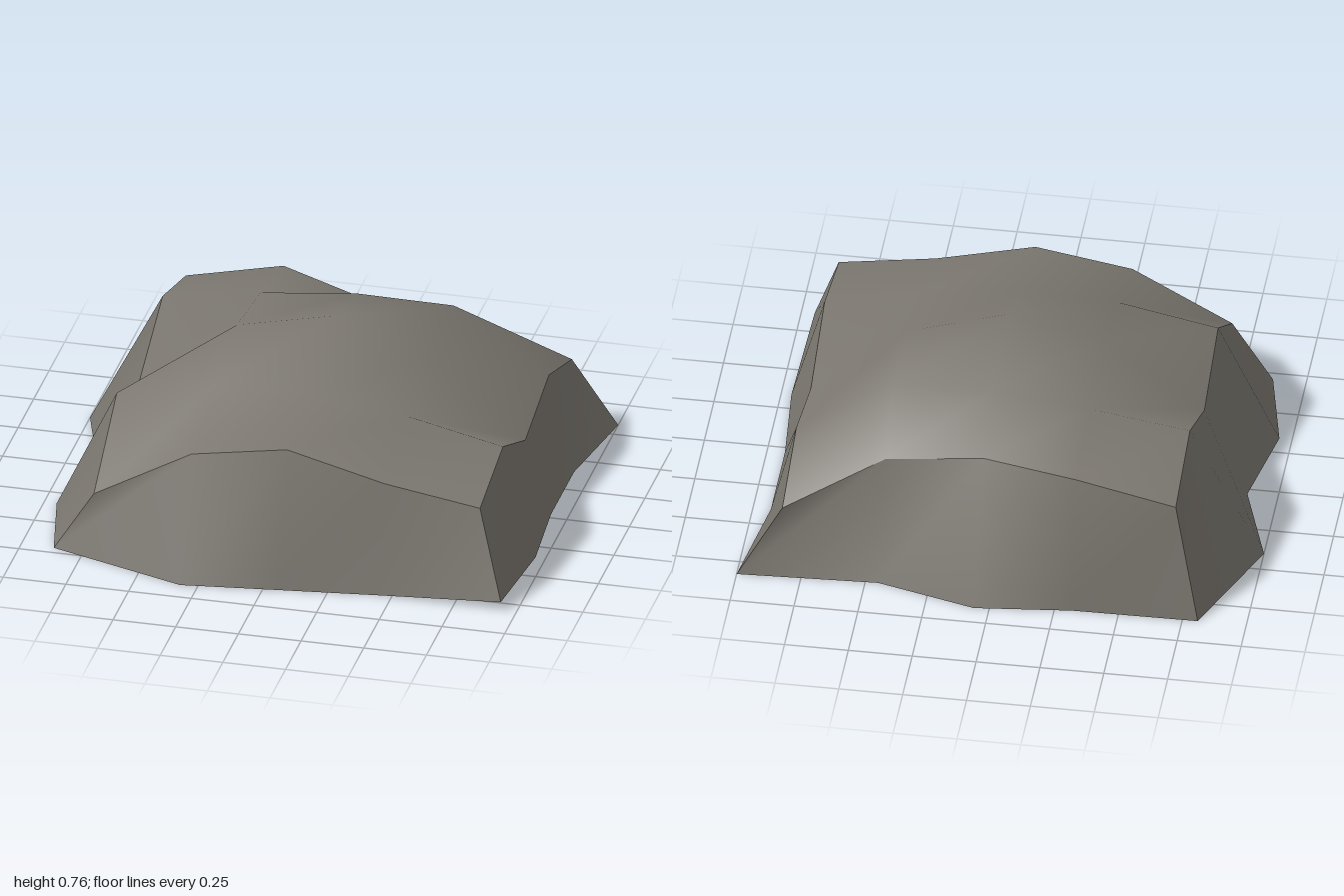
import * as THREE from 'three';

// Indexed strip or grid with its own smooth normals
function makeGeometry(points, index) {
  const geometry = new THREE.BufferGeometry();
  geometry.setAttribute('position', new THREE.Float32BufferAttribute(points.flat(), 3));
  geometry.setIndex(index);
  geometry.computeVertexNormals();
  return geometry;
}

export function createModel() {
  const group = new THREE.Group();
  group.name = 'rock';
  const stone = new THREE.MeshStandardMaterial({ color: 0x7b7770 });
  stone.name = 'stone grey';

  const add = (name, points, index) => {
    const mesh = new THREE.Mesh(makeGeometry(points, index), stone);
    mesh.name = name;
    group.add(mesh);
  };

  // Crown: a 5 x 5 height field, rows run from back to front
  const xs = [-0.71, -0.32, 0.06, 0.45, 0.83];
  const zs = [-0.77, -0.4, -0.02, 0.34, 0.71];
  const heights = [
    [0.47, 0.56, 0.52, 0.455, 0.295],
    [0.565, 0.627, 0.67, 0.665, 0.41],
    [0.38, 0.675, 0.76, 0.635, 0.315],
    [0.51, 0.59, 0.6, 0.55, 0.465],
    [0.255, 0.475, 0.54, 0.44, 0.38],
  ];
  const top = heights.map((row, j) => row.map((h, i) => [xs[i], h, zs[j]]));
  top[0][2][2] = -0.635; // hollow in the back rim
  top[0][3][2] = -0.61;

  const crownIndex = [];
  for (let j = 0; j < 4; j++) {
    for (let i = 0; i < 4; i++) {
      const a = j * 5 + i, b = a + 5, c = b + 1, d = a + 1;
      crownIndex.push(a, b, d, b, c, d);
    }
  }
  add('crown', top.flat(), crownIndex);

  // Foot corners and the outline between them
  const frontLeft = [0.94, 0.04, 0.82], frontRight = [-0.87, 0, 0.71];
  const backLeft = [1, 0, -0.83], backRight = [-0.81, 0, -0.865];
  const sides = [
    ['frontFace', top[4],
      [frontRight, [-0.32, 0, 0.9], [0.06, 0, 0.85], [0.45, 0, 0.8], frontLeft]],
    ['leftFace', top.map((row) => row[4]).reverse(),
      [frontLeft, [0.96, 0, 0.34], [0.93, 0, -0.03], [0.93, 0, -0.4], backLeft]],
    ['backFace', [...top[0]].reverse(),
      [backLeft, [0.45, 0, -0.805], [0.06, 0, -0.91], [-0.32, 0, -0.87], backRight]],
    ['rightFace', top.map((row) => row[0]),
      [backRight, [-1, 0, -0.4], [-0.88, 0, -0.03], [-0.95, 0, 0.34], frontRight]],
  ];

  // Sloping flanks from the crown rim down to the foot
  const outline = [];
  for (const [name, rim, foot] of sides) {
    const index = [];
    for (let i = 0; i < 4; i++) {
      index.push(5 + i, 6 + i, i + 1, 5 + i, i + 1, i);
    }
    add(name, [...rim, ...foot], index);
    outline.push(...foot.slice(0, 4));
  }

  // Underside fan
  const count = outline.length;
  const fan = [];
  for (let i = 0; i < count; i++) fan.push(count, (i + 1) % count, i);
  add('underside', [...outline, [0, 0, 0]], fan);

  return group;
}
